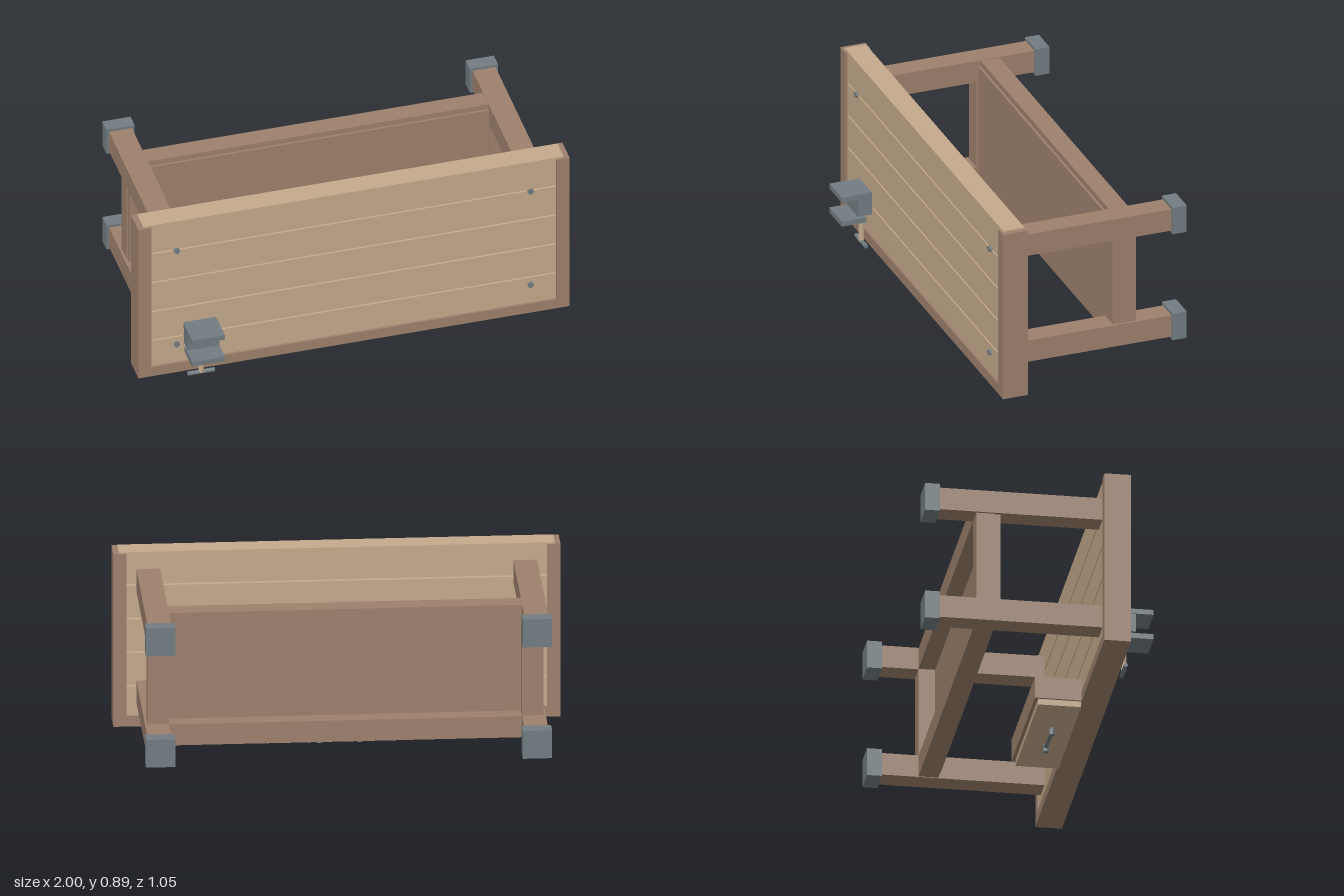
import * as THREE from 'three';

export function createModel() {
  const model = new THREE.Group();
  model.name = 'workbench';
  const material = (name, color) => {
    const m = new THREE.MeshStandardMaterial({ color });
    m.name = name;
    return m;
  };
  const darkWood = material('dark wood', 0x9d806c);
  const lightWood = material('light wood', 0xc4a98b);
  const steel = material('steel', 0x717c81);

  const add = (name, geometry, mat) => {
    const mesh = new THREE.Mesh(geometry, mat);
    mesh.name = name;
    model.add(mesh);
    return mesh;
  };
  // Box given by its extents on each axis
  const box = (name, mat, x0, x1, y0, y1, z0, z1) => {
    const mesh = add(name, new THREE.BoxGeometry(x1 - x0, y1 - y0, z1 - z0), mat);
    mesh.position.set((x0 + x1) / 2, (y0 + y1) / 2, (z0 + z1) / 2);
    return mesh;
  };
  // Faceted cylinder along a chosen axis, centred on a point
  const rod = (name, mat, axis, radius, length, x, y, z, sides = 8) => {
    const g = new THREE.CylinderGeometry(radius, radius, length, sides).toNonIndexed();
    if (axis === 'x') g.rotateZ(Math.PI / 2);
    if (axis === 'z') g.rotateX(Math.PI / 2);
    g.computeVertexNormals();
    return add(name, g, mat).position.set(x, y, z);
  };

  // Table top: five planks with a dark core showing in the narrow gaps
  const gap = 0.004;
  for (let i = 0; i < 5; i++) {
    const y = 0.09 + i * 0.16;
    box('plank', lightWood, -0.975, 0.975, y + gap, Math.min(y + 0.16 - gap, 0.886), 0.278, 0.38);
  }
  box('plankCore', darkWood, -0.95, 0.95, 0.1, 0.87, 0.3, 0.36);

  // Rim on three sides
  box('bottomRim', darkWood, -0.94, 0.94, 0.06, 0.11, 0.27, 0.39);

  for (const s of [-1, 1]) {
    const sideBox = (name, mat, a, b, ...rest) =>
      box(name, mat, Math.min(s * a, s * b), Math.max(s * a, s * b), ...rest);
    sideBox('sideRim', darkWood, 0.94, 1, 0.06, 0.88, 0.27, 0.39);

    // Legs with steel feet, and bolt heads on the table top
    for (const y of [0.2225, 0.752]) {
      sideBox('leg', darkWood, 0.79, 0.896, y - 0.053, y + 0.053, -0.52, 0.3);
      sideBox('foot', steel, 0.777, 0.908, y - 0.066, y + 0.066, -0.525, -0.457);
    }
    for (const y of [0.21, 0.727]) rod('boltHead', steel, 'z', 0.014, 0.03, s * 0.82, y, 0.376);

    // Posts joining the two legs on each side
    sideBox('shelfPost', darkWood, 0.79, 0.885, 0.27, 0.705, -0.29, -0.207);
    sideBox('shelfPostStrip', darkWood, 0.79, 0.88, 0.27, 0.705, -0.207, -0.18);
  }

  // Shelf: long rails and a panel set near their front
  for (const y of [0.2225, 0.752]) box('shelfRail', darkWood, -0.79, 0.79, y - 0.05, y + 0.05, -0.29, -0.2);
  box('shelfPanel', darkWood, -0.79, 0.79, 0.2, 0.775, -0.215, -0.189);

  // Drawer
  box('drawerBox', darkWood, -0.34, 0.336, 0.065, 0.17, 0.06, 0.275);
  box('drawerFront', lightWood, -0.33, 0.327, 0.037, 0.065, 0.075, 0.27);

  // Drawer handle
  rod('handleBar', steel, 'x', 0.009, 0.19, -0.005, 0.022, 0.175);
  for (const x of [-0.095, 0.086]) {
    rod('handleEnd', steel, 'y', 0.014, 0.025, x, 0.0125, 0.175);
    rod('handleStem', steel, 'y', 0.009, 0.022, x, 0.03, 0.175);
  }

  // Vise
  box('viseBody', steel, -0.787, -0.64, 0.212, 0.322, 0.37, 0.446);
  box('viseUpperJaw', steel, -0.79, -0.637, 0.298, 0.322, 0.39, 0.525);
  box('viseLowerJaw', steel, -0.79, -0.637, 0.178, 0.203, 0.406, 0.525);
  rod('viseScrew', lightWood, 'y', 0.013, 0.118, -0.713, 0.109, 0.402);
  rod('viseHandle', steel, 'x', 0.01, 0.124, -0.713, 0.05, 0.402);

  return model;
}
